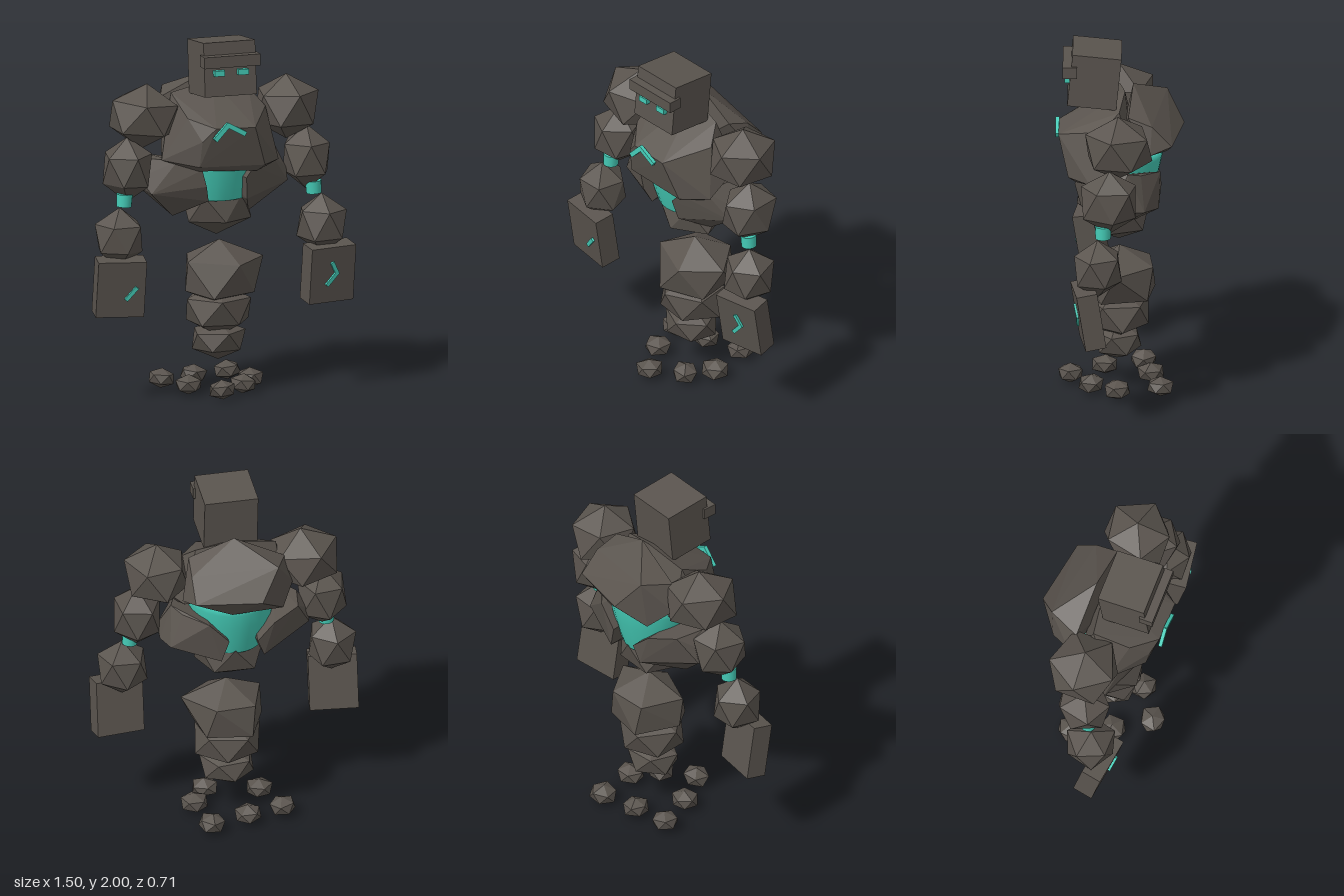
import * as THREE from 'three';
import { ConvexGeometry } from 'three/addons/geometries/ConvexGeometry.js';

export function createModel() {
  const model = new THREE.Group();
  model.name = 'rockGolem';
  const stone = new THREE.MeshStandardMaterial({ color: 0x5a544e, flatShading: true });
  stone.name = 'stone';
  const glow = new THREE.MeshStandardMaterial({ color: 0x45cdb8 });
  glow.name = 'turquoise glow';

  const add = (name, geo, mat, [x, y, z] = [0, 0, 0], [rx, ry, rz] = [0, 0, 0], parent = model) => {
    const m = new THREE.Mesh(geo, mat);
    m.name = name;
    m.position.set(x, y, z);
    m.rotation.set(rx, ry, rz);
    parent.add(m);
    return m;
  };
  const box = (w, h, d) => new THREE.BoxGeometry(w, h, d);

  let seed = 7;
  const rand = () => (seed = (seed * 16807) % 2147483647) / 2147483647;

  // Chipped boulder: two poles and two rings of five corners
  const rock = (name, pos, [rx, ry, rz], yaw = 0, rough = 0.06, tilt = 0) => {
    const pts = [new THREE.Vector3(0, ry, 0), new THREE.Vector3(0, -ry, 0)];
    for (let i = 0; i < 10; i++) {
      const a = yaw + i * Math.PI / 5, up = i % 2 ? -1 : 1;
      const r = 0.93 * (1 + (rand() - 0.5) * 2 * rough);
      pts.push(new THREE.Vector3(Math.cos(a) * rx * r, up * ry * (0.447 + (rand() - 0.5) * rough), Math.sin(a) * rz * r));
    }
    return add(name, new ConvexGeometry(pts), stone, pos, [0, 0, tilt]);
  };

  // Hewn block spanning a few given corners
  const hull = (name, corners) =>
    add(name, new ConvexGeometry(corners.map((c) => new THREE.Vector3(...c))), stone);

  // Thin glowing bar between two points on a front face
  const stroke = (name, [x1, y1], [x2, y2], z, parent = model, width = 0.022, depth = 0.016) =>
    add(name, box(Math.hypot(x2 - x1, y2 - y1) + 0.015, width, depth), glow,
      [(x1 + x2) / 2, (y1 + y2) / 2, z], [0, 0, Math.atan2(y2 - y1, x2 - x1)], parent);

  // Head
  add('head', box(0.3, 0.3, 0.27), stone, [0, 1.847, 0.137], [-0.1, 0, 0]);
  add('brow', box(0.325, 0.064, 0.078), stone, [0, 1.908, 0.272]);
  for (const s of [-1, 1]) add('eye', box(0.06, 0.031, 0.03), glow, [s * 0.069, 1.842, 0.285]);

  // Chest and back hump
  hull('chest', [
    [-0.25, 1.69, 0], [0.2, 1.69, 0], [0, 1.74, -0.03], [-0.22, 1.58, 0.2], [0.265, 1.6, 0.1],
    [-0.17, 1.465, 0.3], [-0.1, 1.54, 0.33], [0.125, 1.535, 0.335], [-0.345, 1.34, 0.12], [0.33, 1.39, 0.05],
    [0.32, 1.31, 0.16], [0.2, 1.31, 0.28], [-0.18, 1.32, 0.28], [-0.28, 1.4, -0.08], [0.28, 1.4, -0.08],
    [-0.17, 1.29, 0.24], [0.17, 1.272, 0.24],
  ]);
  hull('backHump', [
    [0, 1.787, -0.075], [-0.1, 1.52, -0.355], [0.26, 1.515, -0.29], [0.26, 1.63, -0.18], [-0.21, 1.68, -0.26],
    [-0.28, 1.65, -0.09], [0.25, 1.68, -0.05], [-0.32, 1.5, -0.12], [-0.24, 1.41, -0.24], [0.05, 1.41, -0.26],
    [0.31, 1.48, -0.17], [0, 1.45, 0],
  ]);
  stroke('chestRune', [-0.107, 1.485], [-0.037, 1.56], 0.341, model, 0.027, 0.02);
  stroke('chestRune', [-0.037, 1.56], [0.058, 1.508], 0.341, model, 0.027, 0.02);

  // Glowing core bowl held between the waist blocks
  const bowl = [[0, 1.1], [0.17, 1.1], [0.172, 1.102], [0.2, 1.19], [0.226, 1.29], [0.245, 1.38], [0.246, 1.43], [0, 1.43]];
  add('core', new THREE.LatheGeometry(bowl.map((p) => new THREE.Vector2(...p)), 24), glow, [0, 0, 0.008]);
  hull('rightWaist', [
    [-0.44, 1.23, 0.02], [-0.375, 1.335, 0.04], [-0.27, 1.34, 0.17], [-0.15, 1.295, 0.24], [-0.125, 1.2, 0.24],
    [-0.1, 1.11, 0.2], [-0.25, 1.005, 0.03], [-0.43, 1.17, -0.03], [-0.4, 1.15, 0.11], [-0.2, 1.29, -0.2],
    [-0.14, 1.1, -0.21], [-0.35, 1.33, -0.12], [-0.1, 1.2, -0.225],
  ]);
  hull('leftWaist', [
    [0.41, 1.23, 0.03], [0.35, 1.385, -0.05], [0.28, 1.34, 0.16], [0.155, 1.295, 0.23], [0.105, 1.235, 0.245],
    [0.12, 1.11, 0.21], [0.19, 1.005, 0.03], [0.4, 1.17, 0.08], [0.41, 1.18, -0.05], [0.17, 1.335, -0.225],
    [0.06, 1.22, -0.23], [0.1, 1.09, -0.215], [0.37, 1.17, -0.14], [0.3, 1.36, -0.12],
  ]);
  rock('pelvis', [0.012, 1.045, 0.005], [0.205, 0.165, 0.18], 0.94);

  // Floating column under the body
  hull('upperColumn', [
    [0.03, 0.85, 0], [-0.175, 0.745, 0.07], [0.28, 0.745, 0.02], [0.12, 0.75, -0.185], [-0.1, 0.745, -0.165],
    [0.09, 0.73, 0.18], [-0.18, 0.58, 0.04], [0.2, 0.56, 0.1], [0.17, 0.57, -0.155], [-0.08, 0.57, -0.195],
    [-0.06, 0.55, 0.18], [0, 0.5, 0],
  ]);
  rock('middleColumn', [0.02, 0.46, 0.005], [0.192, 0.15, 0.187], 0.5);
  rock('lowerColumn', [0.02, 0.292, 0.015], [0.16, 0.112, 0.145], 0.2);

  // Arms
  for (const s of [-1, 1]) {
    const side = s < 0 ? 'right' : 'left';
    rock(side + 'Shoulder', [s * (s < 0 ? 0.408 : 0.418), 1.57, 0.005], [s < 0 ? 0.205 : 0.19, 0.182, 0.2],
      s < 0 ? 0.6 : 0.2, 0.05, s < 0 ? -0.1 : 0);
    rock(side + 'UpperArm', [s * 0.521, 1.288, 0.05], [0.142, 0.182, 0.163], s < 0 ? 0.2 : 0.5);
    add(side + 'Elbow', new THREE.CylinderGeometry(0.045, 0.042, 0.07, 14), glow, [s * 0.55, 1.124, 0.085], [0, 0, s * 0.06]);
    rock(side + 'Forearm', [s * 0.587, 0.925, 0.115], [0.143, 0.168, 0.143], s < 0 ? 0.9 : 0.3);

    // Slab hand, tipped forward and turned outward
    const hand = new THREE.Group();
    hand.name = side + 'Hand';
    hand.position.set(s * 0.606, 0.661, 0.165);
    hand.rotation.set(0.16, s * 0.14, 0);
    model.add(hand);
    add(side + 'Fist', box(0.27, 0.32, 0.115), stone, [0, 0, 0], [0, 0, 0], hand);
    if (s > 0) stroke('handRune', [-0.007, 0.068], [0.022, 0.01], 0.062, hand);
    stroke('handRune', [s > 0 ? 0.022 : 0.082, 0.01], [s > 0 ? -0.033 : 0.032, -0.052], 0.062, hand);
  }

  // Ring of pebbles on the ground
  const pebbles = [[-0.26, -0.13], [-0.175, 0.08], [-0.045, 0.27], [0.116, 0.155], [0.205, 0.01], [0.155, -0.225], [-0.06, -0.17]];
  pebbles.forEach(([x, z], i) => rock('pebble', [x, 0.065, z], [0.077, 0.056, 0.075], i * 0.7, 0.08, 0.1 * (i % 3 - 1)));

  // Stand on the ground and centre
  const b = new THREE.Box3().setFromObject(model, true);
  const c = b.getCenter(new THREE.Vector3());
  model.position.set(-c.x, -b.min.y, -c.z);
  const root = new THREE.Group();
  root.name = 'golem';
  root.add(model);
  return root;
}
